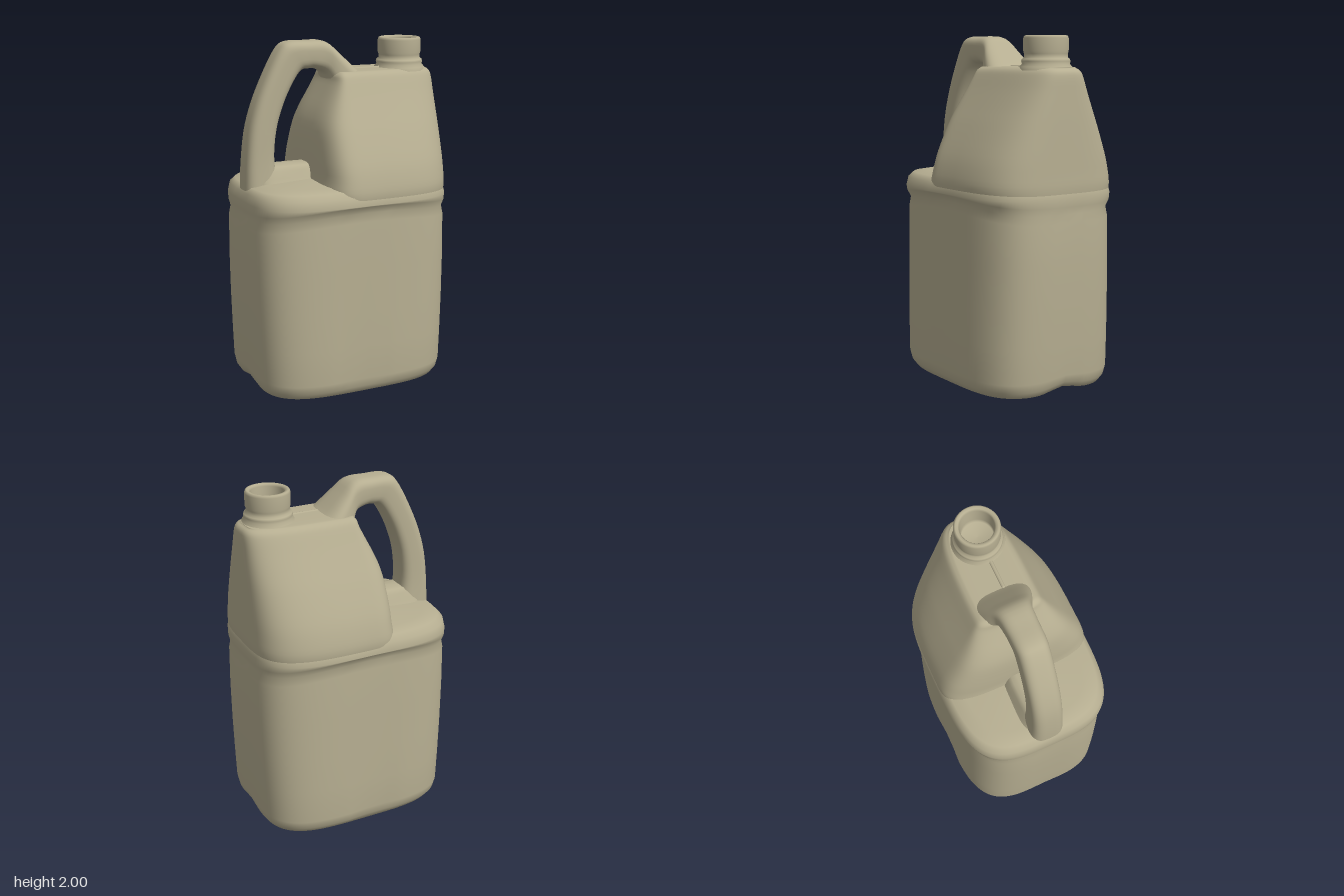
import * as THREE from 'three';

const plastic = new THREE.MeshStandardMaterial({ color: 0xb6ae91 });
plastic.name = 'khaki plastic';

// Skin a stack of closed rings, each an array of Vector3
function loft(rings) {
  const n = rings[0].length, pos = [], idx = [];
  rings.forEach(r => r.forEach(p => pos.push(p.x, p.y, p.z)));
  for (let i = 0; i < rings.length - 1; i++)
    for (let j = 0; j < n; j++) {
      const k = (j + 1) % n, a = i * n + j, b = i * n + k;
      idx.push(a, b, b + n, a, b + n, a + n);
    }
  const g = new THREE.BufferGeometry();
  g.setAttribute('position', new THREE.Float32BufferAttribute(pos, 3));
  g.setIndex(idx);
  g.computeVertexNormals();
  return g;
}

// Unit rounded rectangle outline: [u, v] pairs
function outline(power, count) {
  const f = c => Math.sign(c) * Math.abs(c) ** (2 / power);
  return Array.from({ length: count }, (_, i) => {
    const t = (i / count) * Math.PI * 2;
    return [f(Math.cos(t)), -f(Math.sin(t))];
  });
}

// Interpolate rows of numbers smoothly through their control rows
function smoothRows(rows, steps) {
  const out = [];
  for (let i = 0; i < rows.length - 1; i++)
    for (let s = 0; s < steps; s++) {
      const t = s / steps, at = k => rows[Math.min(Math.max(k, 0), rows.length - 1)];
      out.push(rows[i].map((p1, c) => {
        const p0 = at(i - 1)[c], p2 = at(i + 1)[c], p3 = at(i + 2)[c];
        return p1 + 0.5 * t * (p2 - p0 + t * (2 * p0 - 5 * p1 + 4 * p2 - p3 + t * (3 * (p1 - p2) + p3 - p0)));
      }));
    }
  out.push(rows[rows.length - 1]);
  return out;
}

export function createModel() {
  const model = new THREE.Group();
  model.name = 'jug';
  const add = (name, geometry) => {
    const m = new THREE.Mesh(geometry, plastic);
    m.name = name;
    model.add(m);
    return m;
  };

  // Lower body with overhanging rib and shoulder: [y, half width, half depth]
  const lower = [
    [0.012, 0.001, 0.001], [0.012, 0.4, 0.26], [0.002, 0.5, 0.36], [0.015, 0.55, 0.415],
    [0.05, 0.572, 0.44], [0.1, 0.582, 0.452], [0.3, 0.59, 0.45], [0.5, 0.597, 0.445],
    [0.75, 0.602, 0.438], [0.98, 0.6, 0.432], [1.03, 0.59, 0.426], [1.07, 0.598, 0.45],
    [1.12, 0.598, 0.456], [1.17, 0.588, 0.445], [1.2, 0.56, 0.415], [1.215, 0.48, 0.34],
    [1.23, 0.2, 0.1], [1.235, 0.001, 0.001],
  ];
  const plan = outline(3.7, 112);
  add('lowerBody', loft(lower.map(([y, a, b]) => plan.map(([u, v]) => {
    const x = a * u;
    let z = b * v, py = y;
    // rib arches upward across the front and back
    if (y > 0.95 && y < 1.1) py += 0.045 * (1 - u * u);
    // arched underside at both ends
    if (y < 0.2) py += 0.035 * Math.exp(-((z / 0.11) ** 2)) * u ** 4 * (1 - y / 0.2);
    // shallow tapering valley on each broad face
    if (y > 0.04 && y < 0.9) z *= 1 - 0.025 * (1 - y / 0.9) * Math.exp(-(((x + 0.05) / 0.13) ** 4));
    return new THREE.Vector3(x, py, z);
  }))));

  // Tapering upper body: [y, left extent, right extent, half depth]
  const upper = smoothRows([
    [1.1, 0.19, 0.588, 0.44], [1.17, 0.215, 0.596, 0.451], [1.25, 0.205, 0.595, 0.438],
    [1.35, 0.2, 0.594, 0.406], [1.5, 0.185, 0.592, 0.338], [1.6, 0.155, 0.59, 0.287],
    [1.7, 0.108, 0.587, 0.236], [1.77, 0.075, 0.584, 0.202], [1.805, 0.065, 0.575, 0.182],
    [1.822, 0.05, 0.55, 0.16], [1.828, 0.04, 0.5, 0.13], [1.83, 0.001, 0.001, 0.001],
  ], 3);
  add('upperBody', loft(upper.map(([y, l, r, d]) =>
    plan.map(([u, v]) => new THREE.Vector3(u * (u < 0 ? l : r), y, v * d)))));

  // Handle sweeping up and into the deck: [outer x, outer y, inner x, inner y, half depth]
  const grip = smoothRows([
    [-0.585, 1.1, -0.36, 1.12, 0.105], [-0.578, 1.3, -0.402, 1.32, 0.093],
    [-0.555, 1.5, -0.39, 1.5, 0.09], [-0.51, 1.66, -0.345, 1.65, 0.088],
    [-0.44, 1.82, -0.285, 1.77, 0.087], [-0.365, 1.955, -0.235, 1.835, 0.087],
    [-0.31, 1.997, -0.19, 1.843, 0.088], [-0.2, 2.0, -0.15, 1.842, 0.09],
    [-0.085, 1.993, -0.09, 1.815, 0.1], [0, 1.92, -0.055, 1.74, 0.135],
    [0.1, 1.828, 0.0, 1.65, 0.172], [0.17, 1.79, 0.06, 1.6, 0.17],
  ], 4);
  const gripSection = outline(3.2, 40);
  add('handle', loft(grip.map(([ox, oy, ix, iy, d]) => gripSection.map(([u, v]) =>
    new THREE.Vector3(
      (ox + ix) / 2 + (u * (ix - ox)) / 2,
      (oy + iy) / 2 + (u * (iy - oy)) / 2,
      v * d)))));

  // Raised saddle joining the handle foot to the wall: [y, half length, half depth]
  const saddle = [
    [1.15, 0.2, 0.16], [1.2, 0.2, 0.13], [1.24, 0.2, 0.105], [1.28, 0.2, 0.09],
    [1.303, 0.19, 0.07], [1.31, 0.16, 0.04], [1.312, 0.001, 0.001],
  ];
  const foot = outline(4, 48);
  add('handleFoot', loft(saddle.map(([y, a, b]) =>
    foot.map(([u, v]) => new THREE.Vector3(-0.32 + u * a, y, v * b)))));

  // Open neck with flared collar, lip and closed floor
  const profile = [
    [0.15, 1.81], [0.145, 1.83], [0.132, 1.845], [0.136, 1.86], [0.132, 1.872], [0.12, 1.88],
    [0.12, 1.9], [0.125, 1.915], [0.125, 1.985], [0.12, 1.997], [0.113, 2.0], [0.1, 1.997],
    [0.093, 1.985], [0.09, 1.9], [0.086, 1.875], [0.001, 1.87],
  ].map(p => new THREE.Vector2(...p));
  add('neck', new THREE.LatheGeometry(profile, 48)).position.set(0.403, 0, 0.016);

  // Moulding seam on the deck
  const seam = add('deckSeam', new THREE.CapsuleGeometry(0.012, 0.17, 4, 10));
  seam.rotation.z = Math.PI / 2;
  seam.position.set(0.19, 1.825, 0.028);

  return model;
}
